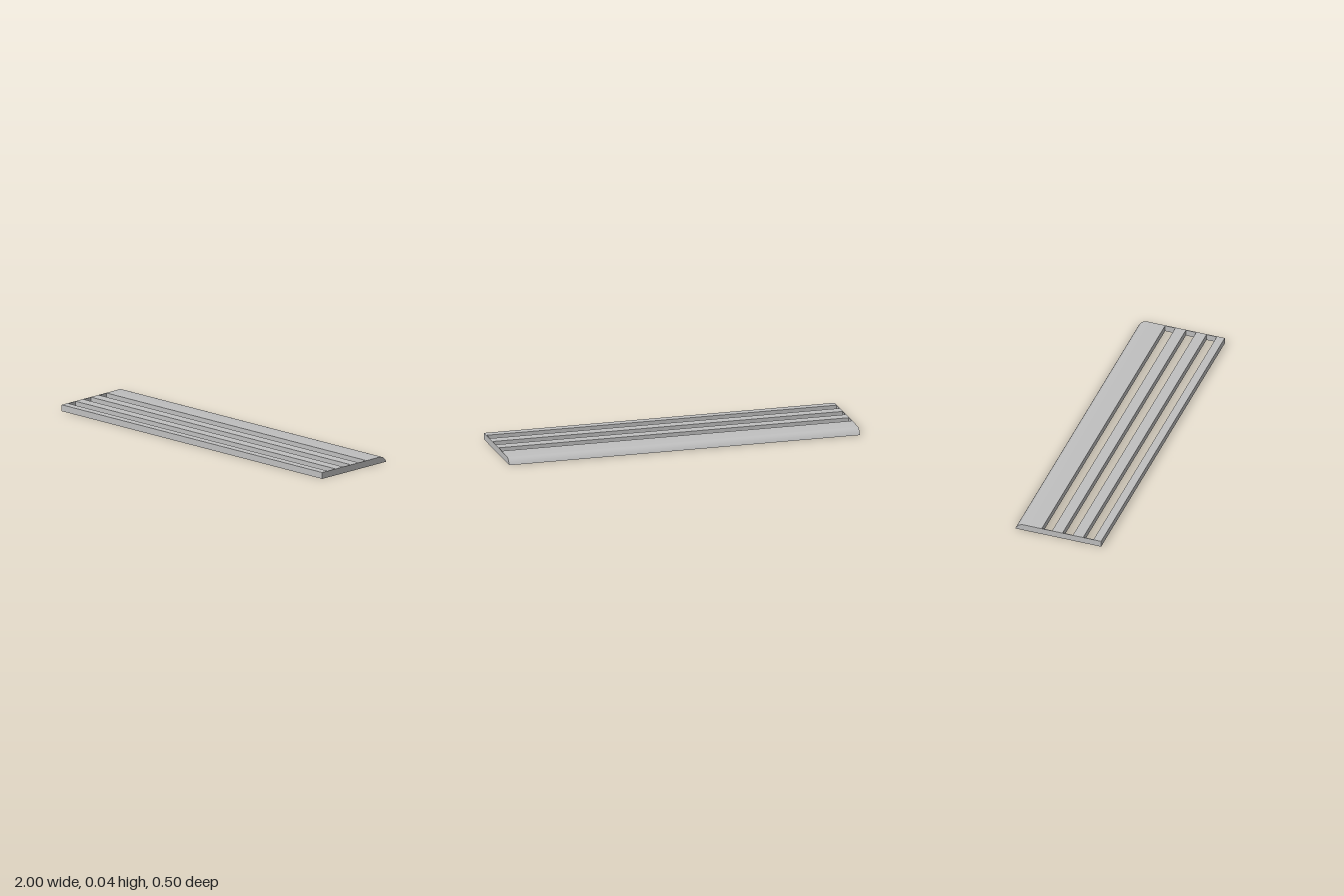
import * as THREE from 'three';
import { toCreasedNormals } from 'three/addons/utils/BufferGeometryUtils.js';

const HEIGHT = 0.036, HALF_DEPTH = 0.25, WALL = 0.004;

// Side profile drawn with x pointing to the back (-z)
function profile(front, back, rounded) {
  const s = new THREE.Shape();
  s.moveTo(front, 0);
  s.lineTo(back, 0);
  if (rounded) {
    s.quadraticCurveTo(0.232, HEIGHT, 0.2, HEIGHT);
  } else {
    s.lineTo(back, HEIGHT);
  }
  s.lineTo(front, HEIGHT);
  s.closePath();
  return s;
}

export function createModel() {
  const group = new THREE.Group();
  const grey = new THREE.MeshStandardMaterial({ color: 0xbfbfbf });
  grey.name = 'plain grey';

  // Extrude a profile along x from x0 over the given length
  const add = (name, shape, x0, length) => {
    const geo = new THREE.ExtrudeGeometry(shape, { depth: length, bevelEnabled: false, curveSegments: 16 });
    geo.rotateY(Math.PI / 2);
    geo.translate(x0, 0, 0);
    const mesh = new THREE.Mesh(toCreasedNormals(geo, 0.5), grey);
    mesh.name = name;
    group.add(mesh);
  };

  // Long bars with open slots between them
  const inner = 2 - 2 * WALL;
  add('frontBar', profile(-HALF_DEPTH, -0.205, false), -1 + WALL, inner);
  add('middleFrontBar', profile(-0.145, -0.085, false), -1 + WALL, inner);
  add('middleBackBar', profile(-0.025, 0.036, false), -1 + WALL, inner);
  add('roundedBackBoard', profile(0.096, HALF_DEPTH, true), -1 + WALL, inner);

  // Thin plates closing both ends
  add('rightEndPlate', profile(-HALF_DEPTH, HALF_DEPTH, true), -1, WALL);
  add('leftEndPlate', profile(-HALF_DEPTH, HALF_DEPTH, true), 1 - WALL, WALL);

  return group;
}
